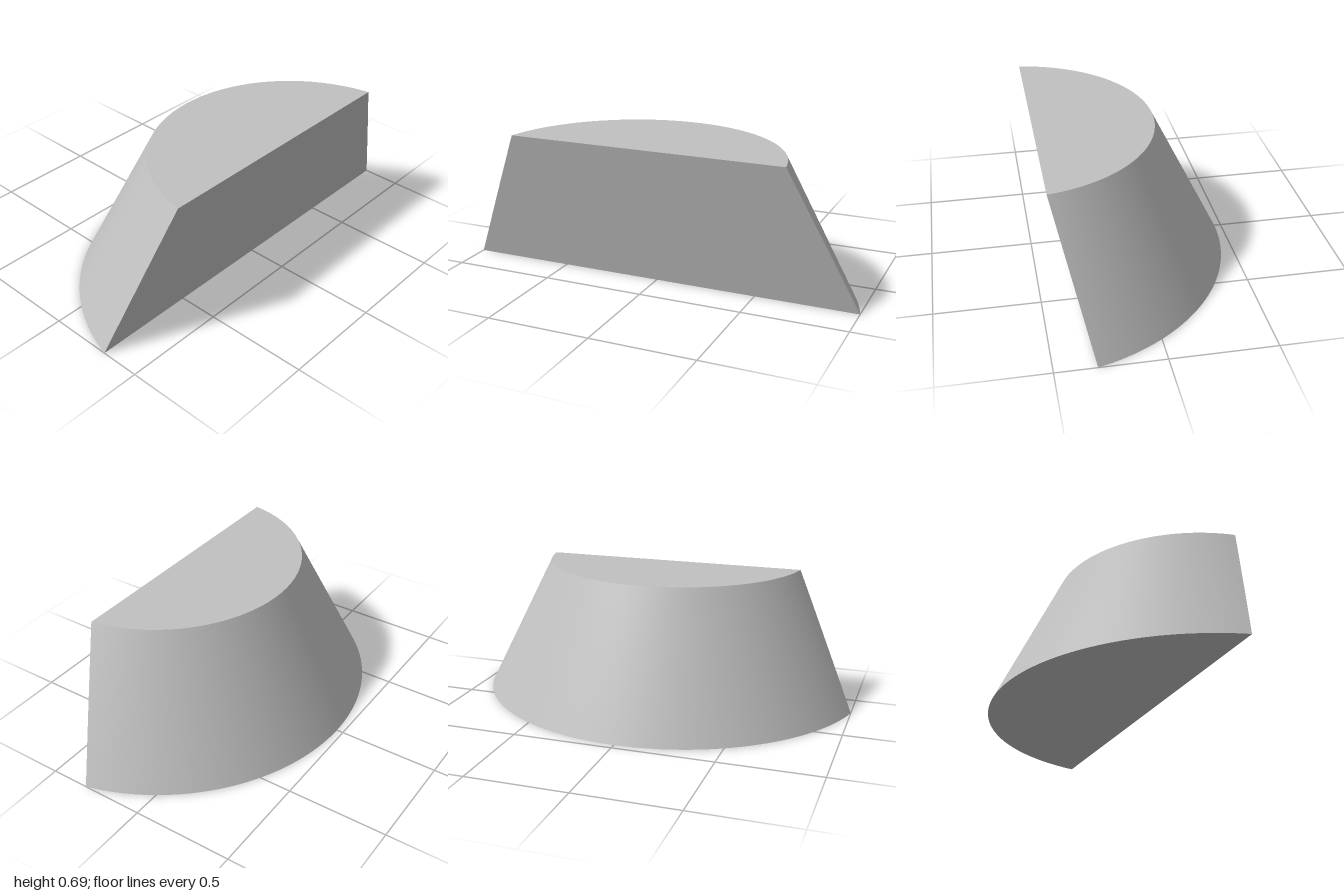
import * as THREE from 'three';

const HEIGHT = 0.689;
const AXIS_X = 0.567;                 // vertical axis of the cone
const R_BOTTOM = 1.033, R_TOP = 0.689;
const CUT_BOTTOM = 0.308, CUT_TOP = 0.466; // slanted cutting plane

const radius = (t) => THREE.MathUtils.lerp(R_BOTTOM, R_TOP, t);
const cutX = (t) => THREE.MathUtils.lerp(CUT_BOTTOM, CUT_TOP, t);

// Point on the cone at height fraction t, u running from back to front
function conePoint(u, t) {
  const r = radius(t);
  const a = (2 * u - 1) * Math.acos((AXIS_X - cutX(t)) / r);
  return [AXIS_X - r * Math.cos(a), t * HEIGHT, r * Math.sin(a)];
}

// Point on the slanted cut, u running from front to back
function cutPoint(u, t) {
  const z = conePoint(1, t)[2];
  return [cutX(t), t * HEIGHT, z * (1 - 2 * u)];
}

// Point on a flat end, w running from the arc to the chord
function capPoint(u, w, t) {
  const [x, y, z] = conePoint(u, t);
  return [THREE.MathUtils.lerp(x, cutX(t), w), y, z];
}

// Moves a grid onto a surface given by a rule of u and v
function surface(name, rule, nu, nv, material) {
  const geometry = new THREE.PlaneGeometry(1, 1, nu, nv);
  const { position, uv } = geometry.attributes;
  for (let i = 0; i < position.count; i++) {
    position.setXYZ(i, ...rule(uv.getX(i), uv.getY(i)));
  }
  geometry.computeVertexNormals();
  const mesh = new THREE.Mesh(geometry, material);
  mesh.name = name;
  return mesh;
}

export function createModel() {
  const grey = new THREE.MeshStandardMaterial({ color: 0xc0c0c0 });
  grey.name = 'light grey';

  const model = new THREE.Group();
  model.name = 'cutCone';
  model.add(
    surface('coneWall', conePoint, 96, 12, grey),
    surface('cutFace', cutPoint, 1, 12, grey),
    surface('topFace', (u, v) => capPoint(u, v, 1), 96, 1, grey),
    surface('bottomFace', (u, v) => capPoint(u, 1 - v, 0), 96, 1, grey),
  );
  return model;
}
